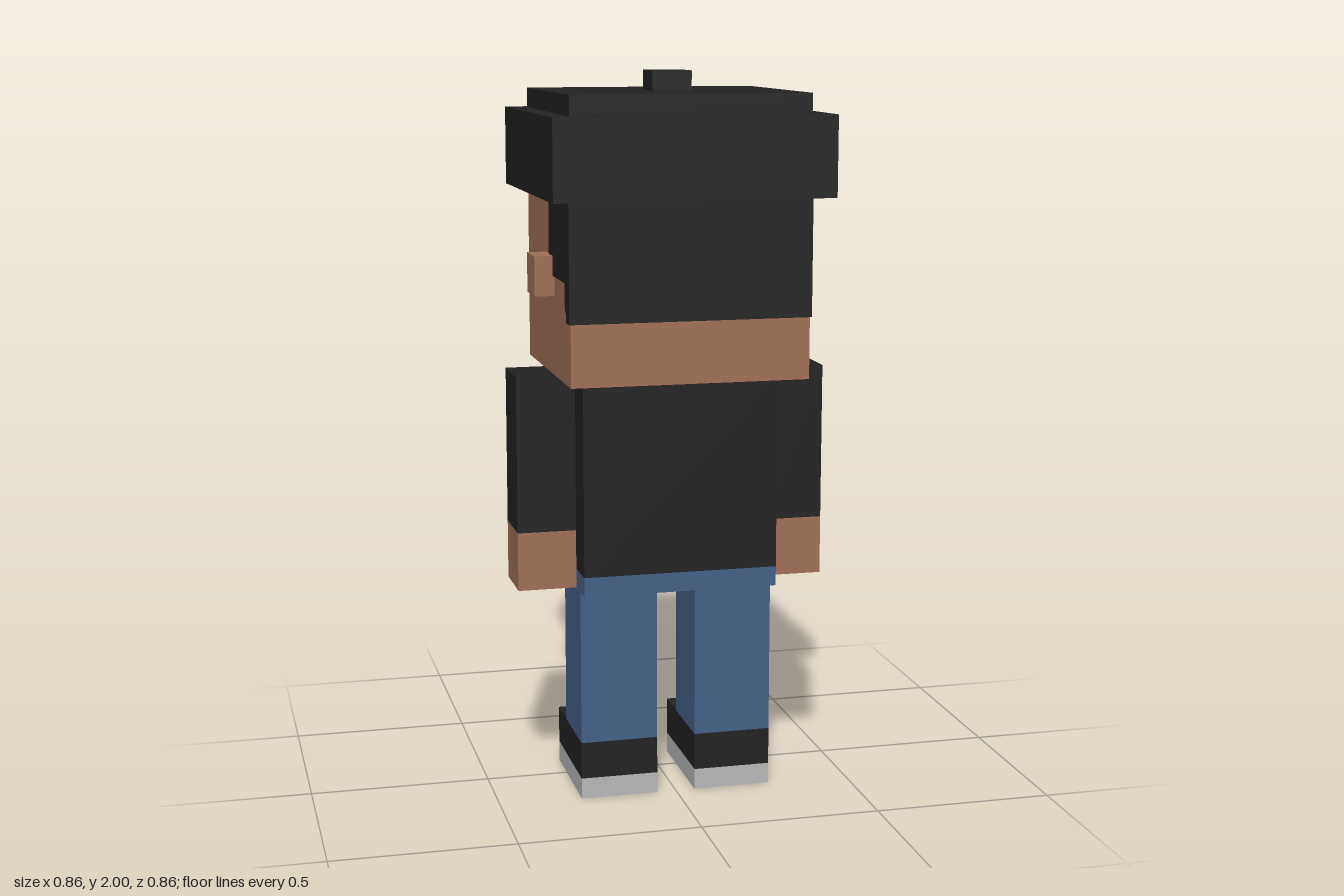
import * as THREE from 'three';

const U = 2 / 37; // one grid cell
const PAINT = 0.08; // painted plate thickness in cells

export function createModel() {
  const mat = (name, color) => Object.assign(new THREE.MeshStandardMaterial({ color }), { name });
  const black = mat('black', 0x222222);
  const skin = mat('skin', 0xa07058);
  const denim = mat('denim', 0x456088);
  const grey = mat('grey', 0xb8b9ba);

  const model = new THREE.Group();
  model.name = 'figure';

  // Box between two corners, given in grid cells
  const box = (name, material, x0, x1, y0, y1, z0, z1) => {
    const geo = new THREE.BoxGeometry((x1 - x0) * U, (y1 - y0) * U, (z1 - z0) * U);
    geo.translate((x0 + x1) / 2 * U, (y0 + y1) / 2 * U, (z0 + z1) / 2 * U);
    const mesh = new THREE.Mesh(geo, material);
    mesh.name = name;
    model.add(mesh);
  };
  // The same box on both sides of the body
  const pair = (name, material, x0, x1, ...yz) => {
    box(name + 'Left', material, x0, x1, ...yz);
    box(name + 'Right', material, -x1, -x0, ...yz);
  };

  // Shoes, legs and hips
  pair('sole', grey, 1, 5, 0, 1.08, -2, 4);
  pair('shoe', black, 1, 5, 1.08, 3, -2, 4);
  pair('leg', denim, 1, 5, 3, 11, 0, 4);
  box('hips', denim, -5, 5, 11, 12, -1, 5);
  box('beltBuckle', grey, -1, 1, 11, 12, -2, -1);

  // Torso with hood strings, arms and watch
  box('torso', black, -5, 5, 12, 22, -1, 5);
  pair('hoodString', black, 2, 3, 14, 22, -2, -1);
  pair('sleeve', black, 5, 8, 14, 22, 0, 3);
  pair('hand', skin, 5, 8, 11, 14, 0, 3);
  box('watch', grey, 6, 7, 14, 15, -1, 0);

  // Head, ears and nose
  box('head', skin, -6, 6, 22, 31, -4, 7);
  pair('ear', skin, 6, 7, 26, 28, 1, 3);
  box('nose', skin, -1, 1, 24, 26, -5, -4);

  // Hair painted on the back and sides
  box('hairBack', black, -6, 6, 25.1, 31, 7, 7 + PAINT);
  pair('hairSide', black, 6, 6 + PAINT, 27, 31, 2, 7 + PAINT);
  pair('sideburn', black, 6, 6 + PAINT, 25.6, 27, 6, 7 + PAINT);
  pair('sideburnTip', black, 6, 6 + PAINT, 25.1, 25.6, 6.25, 7 + PAINT);

  // Beard: painted on the face, with a raised rim under the chin
  pair('beardSide', black, 2.35, 3, 22, 24, -4 - PAINT, -4);
  box('beardFront', black, -2.35, 2.35, 22, 22.7, -4 - PAINT, -4);
  box('chinBeard', black, -3, 3, 21, 22, -4, -3);
  pair('chinBeardSide', black, 2, 3, 21, 22, -3, -2);

  // Glasses: two square frames joined by a bridge
  pair('frameTop', grey, 1, 5, 28, 29, -5, -4);
  pair('frameBottom', grey, 1, 5, 25, 26, -5, -4);
  pair('frameInner', grey, 1, 2, 26, 28, -5, -4);
  pair('frameOuter', grey, 4, 5, 26, 28, -5, -4);
  box('glassesBridge', grey, -1, 1, 27, 28, -5, -4);

  // Cap
  box('capBand', black, -7, 7, 31, 35, -5, 8);
  box('capTop', black, -6, 6, 35, 36, -4, 7);
  box('capButton', black, -1, 1, 36, 37, 1, 3);
  box('capBrim', black, -6, 6, 31, 32, -8, -5);

  return model;
}
